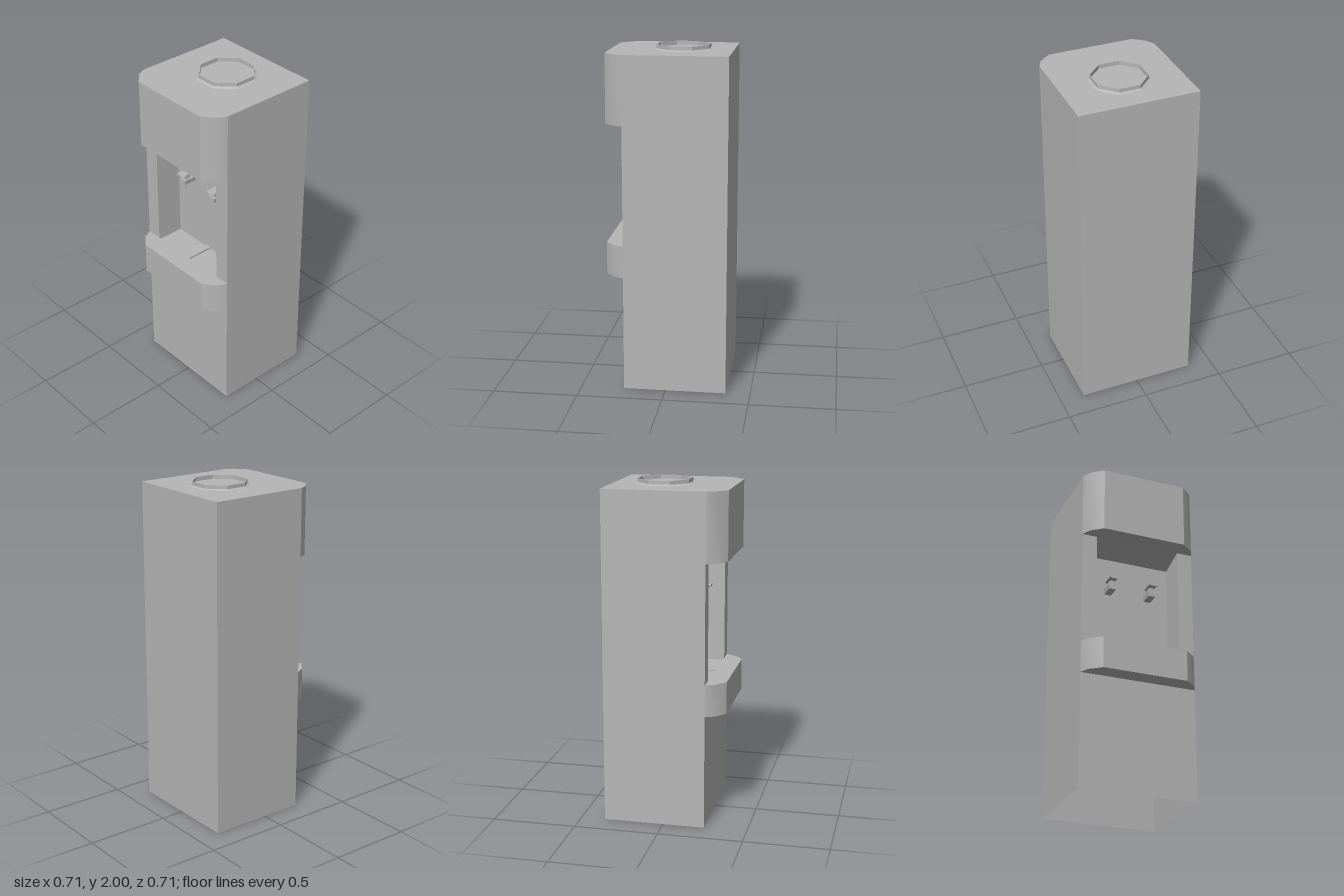
import * as THREE from 'three';
import { toCreasedNormals } from 'three/addons/utils/BufferGeometryUtils.js';

const W = 0.353, BACK = -0.356, FRONT = 0.246, TOP = 1.972;   // cabinet
const RW = 0.26, RZ = 0.08, RB = 0.858, RT = 1.57;            // dispensing recess

export function createModel() {
  const model = new THREE.Group();
  model.name = 'waterDispenser';
  const grey = new THREE.MeshStandardMaterial({ color: 0xb6b6b6, side: THREE.DoubleSide });
  grey.name = 'grey';

  const add = (name, geometry, parent = model) => {
    const mesh = new THREE.Mesh(geometry, grey);
    mesh.name = name;
    parent.add(mesh);
    return mesh;
  };
  const box = (name, w, h, d, x, y, z, parent) =>
    add(name, new THREE.BoxGeometry(w, h, d).translate(x, y, z), parent);

  // Flat panel from four corners, counter-clockwise seen from outside
  const panel = (name, a, b, c, d) => {
    const g = new THREE.BufferGeometry();
    g.setAttribute('position', new THREE.Float32BufferAttribute([a, b, c, a, c, d].flat(), 3));
    g.computeVertexNormals();
    return add(name, g);
  };

  // Cabinet shell, open underneath
  panel('backPanel', [W, 0, BACK], [-W, 0, BACK], [-W, TOP, BACK], [W, TOP, BACK]);
  panel('leftPanel', [W, 0, FRONT], [W, 0, BACK], [W, TOP, BACK], [W, TOP, FRONT]);
  panel('rightPanel', [-W, 0, BACK], [-W, 0, FRONT], [-W, TOP, FRONT], [-W, TOP, BACK]);
  panel('topPanel', [-W, TOP, FRONT], [W, TOP, FRONT], [W, TOP, BACK], [-W, TOP, BACK]);

  // Front panel with the recess opening
  const face = new THREE.Shape();
  face.moveTo(-W, 0).lineTo(W, 0).lineTo(W, TOP).lineTo(-W, TOP).closePath();
  const opening = new THREE.Path();
  opening.moveTo(-RW, RB).lineTo(-RW, RT).lineTo(RW, RT).lineTo(RW, RB).closePath();
  face.holes.push(opening);
  add('frontPanel', new THREE.ShapeGeometry(face).translate(0, 0, FRONT));

  // Recess lining with a sloping ceiling
  const RC = 1.525;
  panel('recessBack', [-RW, RB, RZ], [RW, RB, RZ], [RW, RC, RZ], [-RW, RC, RZ]);
  panel('recessFloor', [-RW, RB, FRONT], [RW, RB, FRONT], [RW, RB, RZ], [-RW, RB, RZ]);
  panel('recessCeiling', [-RW, RC, RZ], [RW, RC, RZ], [RW, RT, FRONT], [-RW, RT, FRONT]);
  panel('recessLeftWall', [RW, RB, RZ], [RW, RB, FRONT], [RW, RT, FRONT], [RW, RC, RZ]);
  panel('recessRightWall', [-RW, RB, FRONT], [-RW, RB, RZ], [-RW, RC, RZ], [-RW, RT, FRONT]);
  box('trayDivider', 0.035, 0.012, FRONT - RZ, 0, RB + 0.006, (FRONT + RZ) / 2);

  // Bowed bands across the front
  const band = (name, bottom, top) => {
    const s = new THREE.Shape();
    s.moveTo(-W, FRONT).lineTo(W, FRONT).lineTo(0.326, 0.3).lineTo(0.257, 0.356);
    s.lineTo(-0.257, 0.356).lineTo(-0.326, 0.3).closePath();
    const g = new THREE.ExtrudeGeometry(s, { depth: top - bottom, bevelEnabled: false });
    g.rotateX(Math.PI / 2).translate(0, top, 0);
    add(name, toCreasedNormals(g, 0.6));
  };
  band('upperHood', 1.57, TOP);
  band('trayBand', 0.68, 0.87);

  // Octagonal bottle collar
  const profile = [[0.179, TOP], [0.164, 1.979], [0.164, 2], [0.16, 2], [0.16, 1.976], [0, 1.976]]
    .map(([r, y]) => new THREE.Vector2(r, y));
  const collar = new THREE.LatheGeometry(profile, 8, Math.PI / 8);
  add('bottleCollar', toCreasedNormals(collar, 0.3)).position.z = -0.063;

  // Pair of taps
  for (const side of [1, -1]) {
    const tap = new THREE.Group();
    tap.name = side > 0 ? 'leftTap' : 'rightTap';
    tap.position.set(side * 0.127, 0, RZ);
    model.add(tap);
    // Spout body, narrower towards the bottom
    const body = new THREE.BoxGeometry(0.05, 0.03, 0.085).translate(0, 1.303, 0.0425);
    const p = body.attributes.position;
    for (let i = 0; i < p.count; i++) if (p.getY(i) < 1.3) p.setX(i, p.getX(i) * 0.84);
    body.computeVertexNormals();
    add('spout', body, tap);
    box('stem', 0.028, 0.034, 0.04, 0, 1.334, 0.055, tap);
    // Lever with clipped edges
    const s = new THREE.Shape();
    s.moveTo(-0.018, 1.348).lineTo(0.018, 1.348).lineTo(0.026, 1.355).lineTo(0.018, 1.362);
    s.lineTo(-0.018, 1.362).lineTo(-0.026, 1.355).closePath();
    add('lever', new THREE.ExtrudeGeometry(s, { depth: 0.085, bevelEnabled: false }).translate(0, 0, 0.025), tap);
  }
  return model;
}
